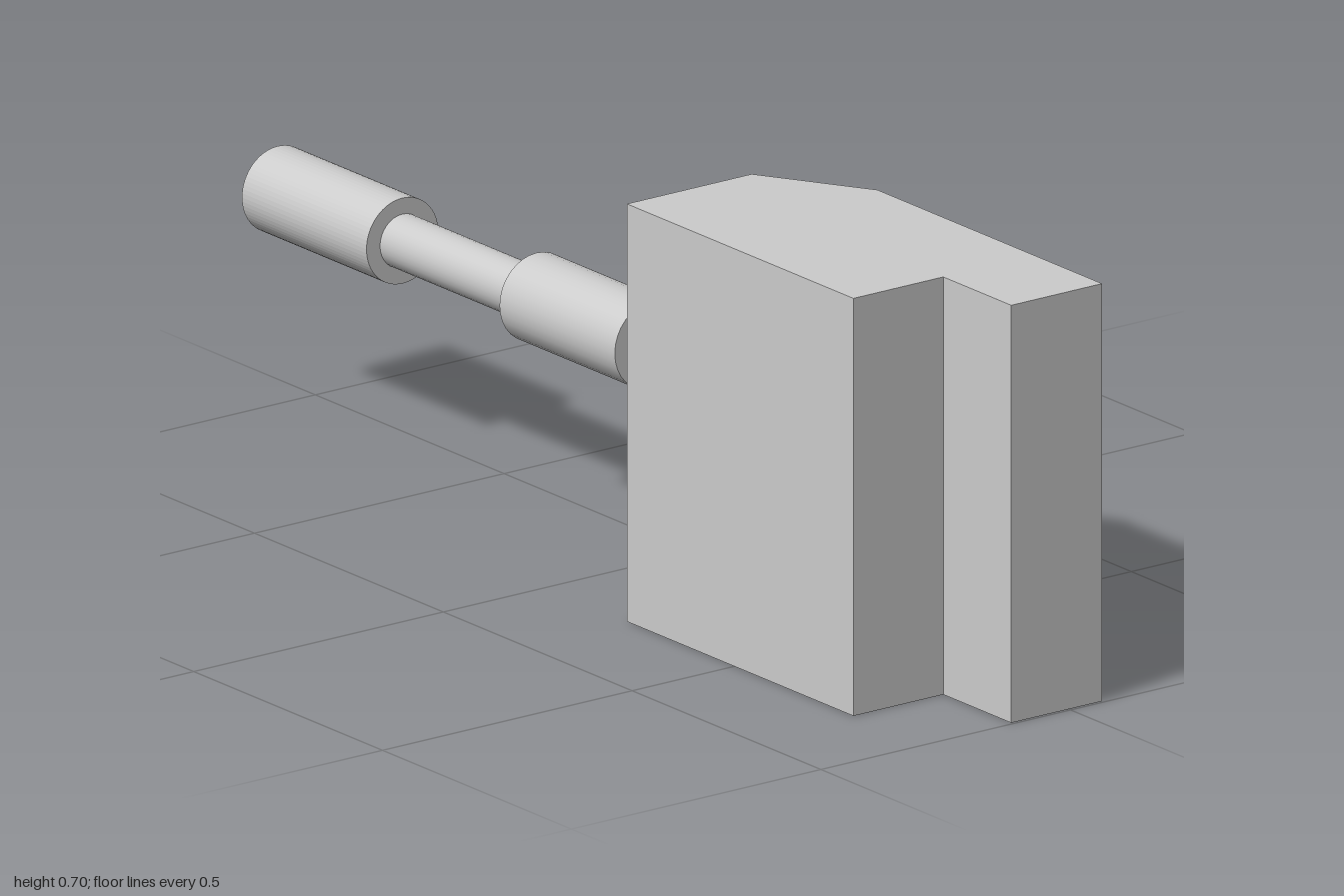
import * as THREE from 'three';

const mat = new THREE.MeshStandardMaterial({ color: 0xcccccc });
const thin = new THREE.MeshStandardMaterial({ color: 0xcccccc, side: THREE.DoubleSide });

const DECK = -0.067; // z of the hatch deck
const AXIS = { y: 0.362, z: 0.075 }; // gun axis

export function createModel() {
  const model = new THREE.Group();

  function add(name, geometry, x = 0, y = 0, z = 0, parent = model, material = mat) {
    const mesh = new THREE.Mesh(geometry, material);
    mesh.name = name;
    mesh.position.set(x, y, z);
    parent.add(mesh);
    return mesh;
  }

  // Prism from an x/z outline, standing between two heights
  function prism(outline, y0, y1) {
    const shape = new THREE.Shape(outline.map(([x, z]) => new THREE.Vector2(x, -z)));
    return new THREE.ExtrudeGeometry(shape, { depth: y1 - y0, bevelEnabled: false })
      .rotateX(-Math.PI / 2).translate(0, y0, 0);
  }

  // Tube along x with wall and end rings; each edge gets its own normals
  function ring(x0, x1, outer, inner) {
    const shape = new THREE.Shape().absarc(0, 0, outer, 0, Math.PI * 2);
    shape.holes.push(new THREE.Path().absarc(0, 0, inner, 0, Math.PI * 2, true));
    return new THREE.ExtrudeGeometry(shape, { depth: x1 - x0, bevelEnabled: false, curveSegments: 32 })
      .rotateY(Math.PI / 2).translate(x0, 0, 0);
  }

  function rod(x0, x1, r) {
    return new THREE.CylinderGeometry(r, r, x1 - x0, 32)
      .rotateZ(Math.PI / 2).translate((x0 + x1) / 2, 0, 0);
  }

  // Turret body with stepped end and sloped nose
  add('turretBody', prism([
    [0.215, 0.295], [0.815, 0.295], [0.815, 0.115], [0.995, 0.115],
    [0.995, DECK], [0.4, DECK], [0.215, 0.045],
  ], 0, 0.703));

  // Wedge housing over the gun mount
  add('gunHousing', prism([[0.215, 0.045], [0.4, DECK], [0.215, DECK]], 0.237, 0.465));

  // Gun barrel
  const gun = new THREE.Group();
  gun.name = 'gun';
  gun.position.set(0, AXIS.y, AXIS.z);
  model.add(gun);
  add('barrel', rod(-0.69, 0.22, 0.045), 0, 0, 0, gun);
  add('collar', rod(0.105, 0.23, 0.077), 0, 0, 0, gun);
  add('sleeve', rod(-0.315, -0.01, 0.074), 0, 0, 0, gun);
  add('muzzle', ring(-1, -0.67, 0.072, 0.047), 0, 0, 0, gun);
  add('muzzleBack', rod(-0.69, -0.67, 0.06), 0, 0, 0, gun);

  // Round hatches, each with two hinge blocks and a pin
  for (const y of [0.162, 0.519]) {
    const hatch = new THREE.Group();
    hatch.name = 'hatch';
    hatch.position.set(0.59, y, DECK);
    model.add(hatch);
    add('hatchLid', new THREE.CylinderGeometry(0.124, 0.124, 0.036, 32).rotateX(Math.PI / 2),
      0, 0, -0.008, hatch);
    for (const side of [-1, 1]) {
      add('hinge', new THREE.BoxGeometry(0.05, 0.018, 0.019), 0.117, side * 0.036, -0.024, hatch);
    }
    add('hingePin', new THREE.CylinderGeometry(0.005, 0.005, 0.08, 10), 0.13, 0, -0.024, hatch);
  }

  // Bent vent pipe rising from the deck and turning towards the muzzle
  const px = 0.305, py = 0.408, pz = -0.245, bend = 0.085;
  const path = new THREE.CurvePath();
  const v = (x, z) => new THREE.Vector3(x, py, z);
  const k = bend * 0.448;
  path.add(new THREE.LineCurve3(v(px, DECK + 0.03), v(px, pz + bend)));
  path.add(new THREE.CubicBezierCurve3(
    v(px, pz + bend), v(px, pz + k), v(px - bend + k, pz), v(px - bend, pz)));
  path.add(new THREE.LineCurve3(v(px - bend, pz), v(0.17, pz)));
  add('ventPipe', new THREE.TubeGeometry(path, 48, 0.032, 24), 0, 0, 0, model, thin);
  add('ventFlange', ring(0.16, 0.183, 0.05, 0.032), 0, py, pz);
  add('ventPlug', rod(0.178, 0.183, 0.034), 0, py, pz);

  // Tapered spike beside the pipe
  add('spike', new THREE.CylinderGeometry(0.009, 0.027, 0.145, 24).rotateX(-Math.PI / 2),
    px, 0.282, DECK - 0.0715);

  return model;
}
